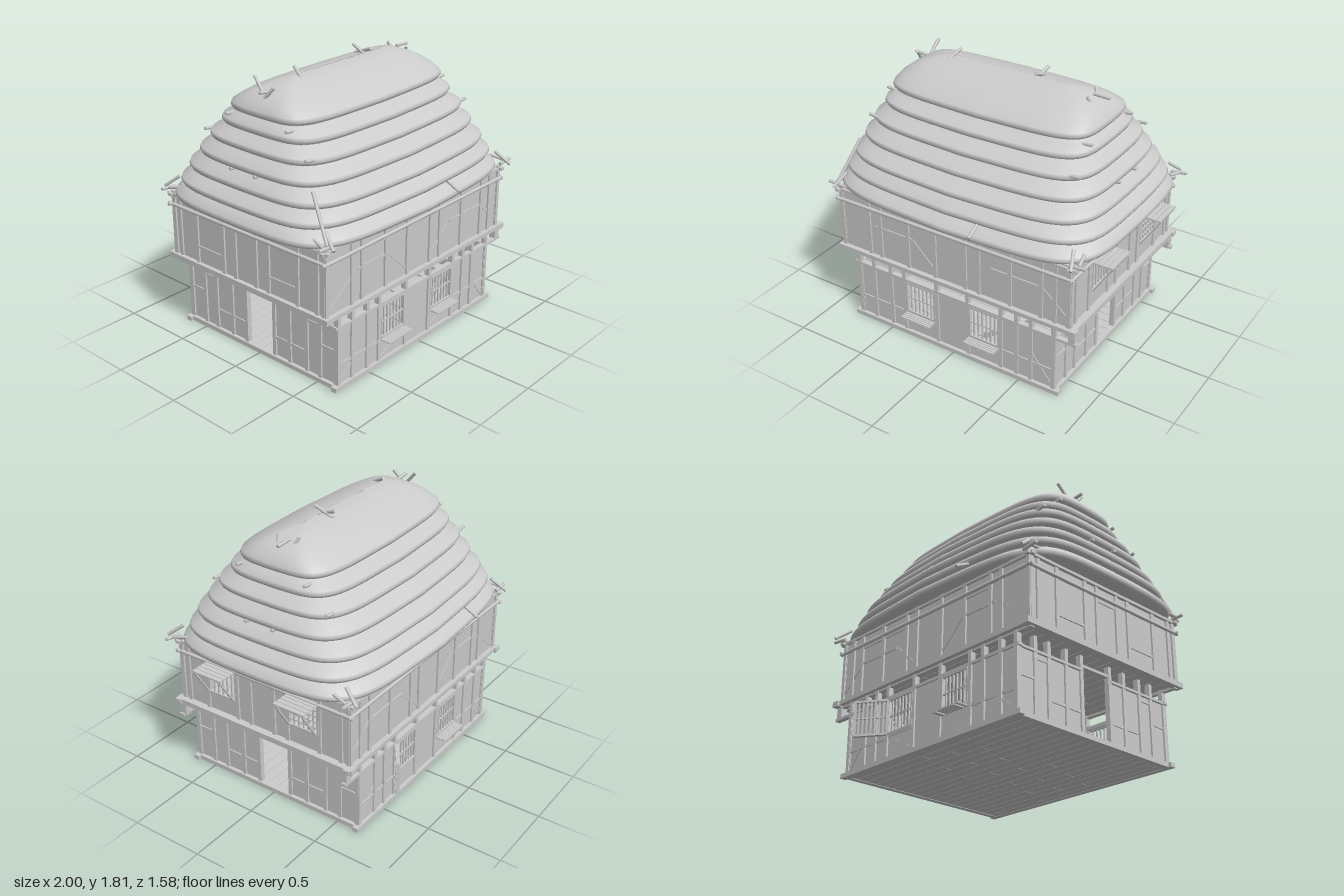
import * as THREE from 'three';

const mat = new THREE.MeshStandardMaterial({ color: 0xcccccc, side: THREE.DoubleSide });

function box(parent, name, w, h, d, x, y, z) {
  const m = new THREE.Mesh(new THREE.BoxGeometry(w, h, d), mat);
  m.position.set(x, y, z);
  m.name = name;
  parent.add(m);
  return m;
}

// straight timber between two points, square or round
function timber(parent, name, a, b, t, round = false) {
  const p = new THREE.Vector3(...a), q = new THREE.Vector3(...b), dir = q.clone().sub(p);
  const geo = round ? new THREE.CylinderGeometry(t / 2, t / 2, dir.length(), 8) : new THREE.BoxGeometry(t, dir.length(), t);
  const m = new THREE.Mesh(geo, mat);
  m.position.copy(p).add(q).multiplyScalar(0.5);
  m.quaternion.setFromUnitVectors(new THREE.Vector3(0, 1, 0), dir.normalize());
  m.name = name;
  parent.add(m);
  return m;
}

function group(parent, name, x = 0, y = 0, z = 0, ry = 0) {
  const g = new THREE.Group();
  g.name = name;
  g.position.set(x, y, z);
  g.rotation.y = ry;
  parent.add(g);
  return g;
}

// framed set of bars, from x = 0..w and y = 0..h
function lattice(parent, name, x, y, z, w, h, bars, cross) {
  const g = group(parent, name, x, y, z);
  for (const e of [0, 1]) {
    box(g, 'frameSide', 0.014, h, 0.024, e * w, h / 2, 0);
    box(g, 'frameRail', w, 0.014, 0.024, w / 2, e * h, 0);
  }
  for (let i = 1; i <= bars; i++) box(g, 'bar', 0.01, h, 0.01, w * i / (bars + 1), h / 2, 0);
  for (let i = 1; i <= cross; i++) box(g, 'crossBar', w, 0.008, 0.014, w / 2, h * i / (cross + 1), 0);
  return g;
}

// horizontal board hatch reaching outward from a wall (+z)
function hatch(parent, name, u, y, w, depth) {
  const g = group(parent, name, u, y, 0), n = 4;
  for (let i = 0; i < n; i++) box(g, 'board', w, 0.01, depth / n - 0.004, w / 2, 0, (i + 0.5) * depth / n);
  for (const e of [0.15, 0.85]) box(g, 'batten', 0.02, 0.008, depth, w * e, -0.008, depth / 2);
}

// wall in its own plane: u along x, outside faces +z
function wall(parent, name, pos, ry, o) {
  const g = group(parent, name, pos[0], 0, pos[1], ry);
  for (const [a, b] of o.spans) {
    const s = new THREE.Shape([[a, o.y0], [b, o.y0], [b, o.y1], [a, o.y1]].map(p => new THREE.Vector2(...p)));
    for (const [u0, v0, u1, v1] of o.holes || []) {
      if (u0 < a || u1 > b) continue;
      s.holes.push(new THREE.Path([[u0, v0], [u0, v1], [u1, v1], [u1, v0]].map(p => new THREE.Vector2(...p))));
    }
    const m = new THREE.Mesh(new THREE.ExtrudeGeometry(s, { depth: 0.018, bevelEnabled: false }), mat);
    m.position.z = -0.03;
    m.name = 'panel';
    g.add(m);
  }
  for (const u of o.studs) box(g, 'stud', 0.026, o.top - o.y0, 0.034, u, (o.top + o.y0) / 2, -0.017);
  for (const [a, b, y] of o.rails || []) box(g, 'rail', b - a, 0.018, 0.026, (a + b) / 2, y, -0.017);
  for (const [a, b, c, d] of o.braces || []) timber(g, 'brace', [a, b, -0.018], [c, d, -0.018], 0.022);
  for (const [u0, v0, u1, v1, bars, cross] of o.holes || []) lattice(g, 'barredWindow', u0, v0, -0.01, u1 - u0, v1 - v0, bars, cross);
  return g;
}

const flipU = o => ({
  ...o,
  spans: o.spans.map(([a, b]) => [-b, -a]),
  studs: o.studs.map(u => -u),
  rails: o.rails.map(([a, b, y]) => [-b, -a, y]),
  braces: (o.braces || []).map(([a, b, c, d]) => [-a, b, -c, d]),
  holes: (o.holes || []).map(([a, b, c, d, ...r]) => [-c, b, -a, d, ...r]),
});

function planks(parent, name, x0, x1, z0, z1, y, t, n) {
  const g = group(parent, name), d = (z1 - z0) / n;
  for (let i = 0; i < n; i++) {
    const cut = x0 + (x1 - x0) * (0.3 + 0.4 * ((i * 7 % 10) / 10)), z = z0 + (i + 0.5) * d;
    box(g, 'plank', cut - x0 - 0.003, t, d - 0.004, (x0 + cut) / 2, y, z);
    box(g, 'plank', x1 - cut - 0.003, t, d - 0.004, (x1 + cut) / 2, y, z);
  }
}

// thatch: stacked bulging tiers lofted through rounded rings
function thatch(parent) {
  const tiers = [[0.98, 0.985, 0.758], [1.08, 0.957, 0.712], [1.18, 0.91, 0.665], [1.285, 0.866, 0.59],
    [1.39, 0.818, 0.52], [1.49, 0.765, 0.445], [1.585, 0.735, 0.372]];
  const rings = [[0.985, 0.01, 0.01], [0.985, 0.85, 0.63]];
  tiers.forEach(([y, a, b], i) => {
    rings.push([y - 0.008, a - 0.035, b - 0.035], [y, a - 0.01, b - 0.01], [y + 0.02, a, b], [y + 0.04, a - 0.006, b - 0.008]);
    const n = tiers[i + 1];
    if (n) rings.push([n[0] - 0.03, n[1] - 0.006, n[2] - 0.006], [n[0] - 0.012, n[1] - 0.028, n[2] - 0.028]);
  });
  rings.push([1.665, 0.7, 0.302], [1.7, 0.655, 0.24], [1.73, 0.6, 0.175], [1.755, 0.53, 0.105], [1.768, 0.47, 0.05], [1.773, 0.42, 0.002]);
  const N = 128, P = 5.5, pos = [], idx = [];
  rings.forEach(([y, a, b]) => {
    for (let j = 0; j < N; j++) {
      const t = j / N * Math.PI * 2, c = Math.cos(t), s = Math.sin(t);
      const r = (Math.abs(c) ** P + Math.abs(s) ** P) ** (-1 / P), u = c * r, v = s * r;
      pos.push(a * u * (1 - 0.03 * v * v) - 0.015, y, b * v * (1 - 0.06 * Math.abs(u)));
    }
  });
  for (let i = 0; i < rings.length - 1; i++) for (let j = 0; j < N; j++) {
    const k = (j + 1) % N, a = i * N + j, c = i * N + k, b = a + N, d = c + N;
    idx.push(a, b, c, b, d, c);
  }
  const geo = new THREE.BufferGeometry();
  geo.setAttribute('position', new THREE.Float32BufferAttribute(pos, 3));
  geo.setIndex(idx);
  geo.computeVertexNormals();
  const m = new THREE.Mesh(geo, mat);
  m.name = 'thatchRoof';
  parent.add(m);
}

export function createModel() {
  const house = new THREE.Group();
  house.name = 'house';

  // ground storey
  const lower = group(house, 'groundStorey');
  planks(lower, 'groundFloor', -0.77, 0.75, -0.65, 0.65, 0.028, 0.02, 18);
  for (const s of [1, -1]) {
    box(lower, 'sillBeam', 1.6, 0.03, 0.04, -0.01, 0.03, s * 0.65);
    box(lower, 'sillBeam', 0.04, 0.03, 1.34, -0.01 + s * 0.76, 0.03, 0);
    box(lower, 'wallPlate', 1.69, 0.018, 0.034, 0.055, 0.437, s * 0.642);
    box(lower, 'jettyPost', 0.045, 0.09, 0.045, 0.865, 0.48, s * 0.635);
    for (const t of [1, -1]) box(lower, 'sidePlate', 0.034, 0.016, 0.53, -0.01 + s * 0.755, 0.437, t * 0.39);
    box(lower, 'doorLintel', 0.03, 0.018, 0.24, -0.01 + s * 0.75, 0.468, 0);
  }
  const longLower = {
    y0: 0.04, y1: 0.44, top: 0.53, spans: [[-0.775, 0.755]],
    holes: [[-0.37, 0.2, -0.15, 0.42, 6, 1], [0.125, 0.2, 0.345, 0.42, 6, 1]],
    studs: [-0.765, -0.64, -0.5, -0.39, -0.13, 0.11, 0.36, 0.475, 0.58, 0.742],
    rails: [[-0.76, -0.39, 0.18], [-0.39, -0.13, 0.19], [0.11, 0.36, 0.19], [0.36, 0.74, 0.18]],
    braces: [[-0.76, 0.05, -0.6, 0.18], [-0.37, 0.05, -0.14, 0.18], [0.12, 0.05, 0.35, 0.18], [0.58, 0.25, 0.735, 0.05]],
  };
  const front = wall(lower, 'groundFrontWall', [0, 0.658], 0, longLower);
  const back = wall(lower, 'groundBackWall', [0, -0.658], Math.PI, flipU(longLower));
  hatch(front, 'loweredHatch', -0.375, 0.185, 0.23, 0.07);
  hatch(front, 'loweredHatch', 0.12, 0.185, 0.23, 0.07);
  hatch(back, 'loweredHatch', 0.145, 0.185, 0.23, 0.07);
  // shutter swung open beside one back window
  const shutter = lattice(back, 'openShutter', -0.35, 0.2, 0, 0.21, 0.22, 7, 1);
  shutter.rotation.y = Math.PI + 0.62;

  const shortLower = {
    y0: 0.04, y1: 0.44, top: 0.53, spans: [[-0.655, -0.12], [0.12, 0.655]],
    studs: [-0.64, -0.51, -0.4, -0.255, -0.125, 0.125, 0.255, 0.4, 0.51, 0.64],
    rails: [[-0.64, -0.51, 0.27], [-0.51, -0.4, 0.4], [-0.38, -0.125, 0.175], [0.125, 0.38, 0.175], [0.4, 0.51, 0.4], [0.51, 0.64, 0.27]],
  };
  wall(lower, 'groundRightWall', [0.758, 0], Math.PI / 2, shortLower);
  wall(lower, 'groundLeftWall', [-0.778, 0], -Math.PI / 2, shortLower);

  // inner stair
  const stair = group(house, 'stair');
  for (let i = 0; i < 9; i++) box(stair, 'tread', 0.07, 0.012, 0.34, 0.06 + i * 0.07, 0.08 + i * 0.052, 0.4);
  for (const z of [0.23, 0.57]) timber(stair, 'stringer', [0.02, 0.04, z], [0.66, 0.515, z], 0.025);

  // upper storey
  const upper = group(house, 'upperStorey');
  planks(upper, 'upperFloor', -0.87, 0.84, -0.65, 0.65, 0.54, 0.016, 16);
  for (const s of [1, -1]) {
    box(upper, 'bressummer', 1.79, 0.028, 0.045, 0.01, 0.537, s * 0.66);
    box(upper, 'sideBeam', 0.055, 0.036, 1.38, s * 0.87 - 0.005, 0.534, -0.005);
    box(upper, 'innerPlate', 1.76, 0.012, 0.03, 0, 0.515, s * 0.64);
    timber(upper, 'girtRail', [-0.91, 0.895, s * 0.662], [0.875, 0.895, s * 0.662], 0.024, true);
    timber(upper, 'girtRail', [s * 0.872 - 0.015, 0.895, -0.685], [s * 0.872 - 0.015, 0.895, 0.68], 0.024, true);
    box(upper, 'topPlate', 1.79, 0.018, 0.03, -0.015, 0.965, s * 0.65);
    box(upper, 'topPlate', 0.03, 0.018, 1.37, s * 0.865 - 0.015, 0.965, 0);
  }
  const longUpper = {
    y0: 0.55, y1: 0.985, top: 0.985, spans: [[-0.885, 0.855]],
    studs: [-0.87, -0.65, -0.56, -0.34, -0.13, 0.1, 0.2, 0.43, 0.65, 0.745, 0.84],
    rails: [[-0.56, -0.34, 0.875], [-0.6, -0.31, 0.765], [0.2, 0.43, 0.875], [0.3, 0.65, 0.765], [0.43, 0.65, 0.875]],
    braces: [[-0.86, 0.57, -0.6, 0.765], [-0.31, 0.765, -0.14, 0.6], [0.1, 0.58, 0.3, 0.765], [0.65, 0.765, 0.84, 0.6]],
  };
  wall(upper, 'upperFrontWall', [0, 0.662], 0, longUpper);
  wall(upper, 'upperBackWall', [0, -0.662], Math.PI, flipU(longUpper));
  const shortUpper = {
    y0: 0.55, y1: 0.985, top: 0.985, spans: [[-0.655, 0.655]],
    studs: [-0.64, -0.59, -0.435, -0.195, -0.09, 0.09, 0.195, 0.435, 0.59, 0.64],
    rails: [[-0.43, -0.2, 0.66], [-0.09, 0.09, 0.87], [0.2, 0.43, 0.66]],
  };
  wall(upper, 'upperLeftWall', [-0.886, 0], -Math.PI / 2, shortUpper);
  const right = wall(upper, 'upperRightWall', [0.858, 0], Math.PI / 2,
    { ...shortUpper, holes: [[-0.42, 0.68, -0.205, 0.885, 5, 0], [0.21, 0.68, 0.425, 0.885, 5, 4]] });
  for (const u of [-0.425, 0.205]) {
    hatch(right, 'awning', u, 0.89, 0.225, 0.14);
    for (const e of [0.015, 0.21]) timber(right, 'awningProp', [u + e, 0.68, 0.005], [u + e, 0.885, 0.135], 0.01);
  }

  // roof with pegs poking out
  thatch(house);
  const pegs = group(house, 'roofPegs');
  const peg = (...p) => timber(pegs, 'peg', p.slice(0, 3), p.slice(3), 0.022, true);
  peg(-0.63, 1.79, -0.13, -0.645, 1.68, -0.03);
  peg(-0.66, 1.76, 0.06, -0.68, 1.69, 0);
  peg(-0.72, 1.73, 0, -0.62, 1.72, 0);
  peg(-0.385, 1.81, -0.04, -0.42, 1.755, 0.06);
  peg(0.225, 1.81, -0.1, 0.2, 1.75, 0.05);
  peg(0.22, 1.81, 0.05, 0.22, 1.76, -0.08);
  peg(0.56, 1.76, -0.09, 0.59, 1.7, -0.06);
  peg(0.58, 1.75, 0.05, 0.61, 1.69, 0.03);
  peg(0.58, 1.74, -0.03, 0.69, 1.735, -0.03);
  for (const s of [1, -1]) {
    for (const [y, z, x] of [[1.55, 0.25, 0.75], [1.42, 0.42, 0.77], [1.27, 0.1, 0.87]])
      for (const t of [1, -1]) peg(s * (x - 0.09) - 0.015, y, t * z, s * x - 0.015, y + 0.01, t * z);
    for (const t of [1, -1]) {
      peg(s * 0.84, 1.0, t * 0.665, s * 0.95, 1.01, t * 0.67);
      peg(s * 0.84, 1.08, t * 0.62, s * 0.88, 1.0, t * 0.72);
      peg(s * 0.88, 1.03, t * 0.56, s * 0.9, 1.01, t * 0.66);
    }
  }
  peg(-0.88, 1.02, 0.67, -0.81, 1.28, 0.5);
  peg(0.22, 1.08, 0.68, 0.22, 1.03, 0.78);
  peg(-0.39, 1.08, -0.68, -0.39, 1.03, -0.775);
  return house;
}
